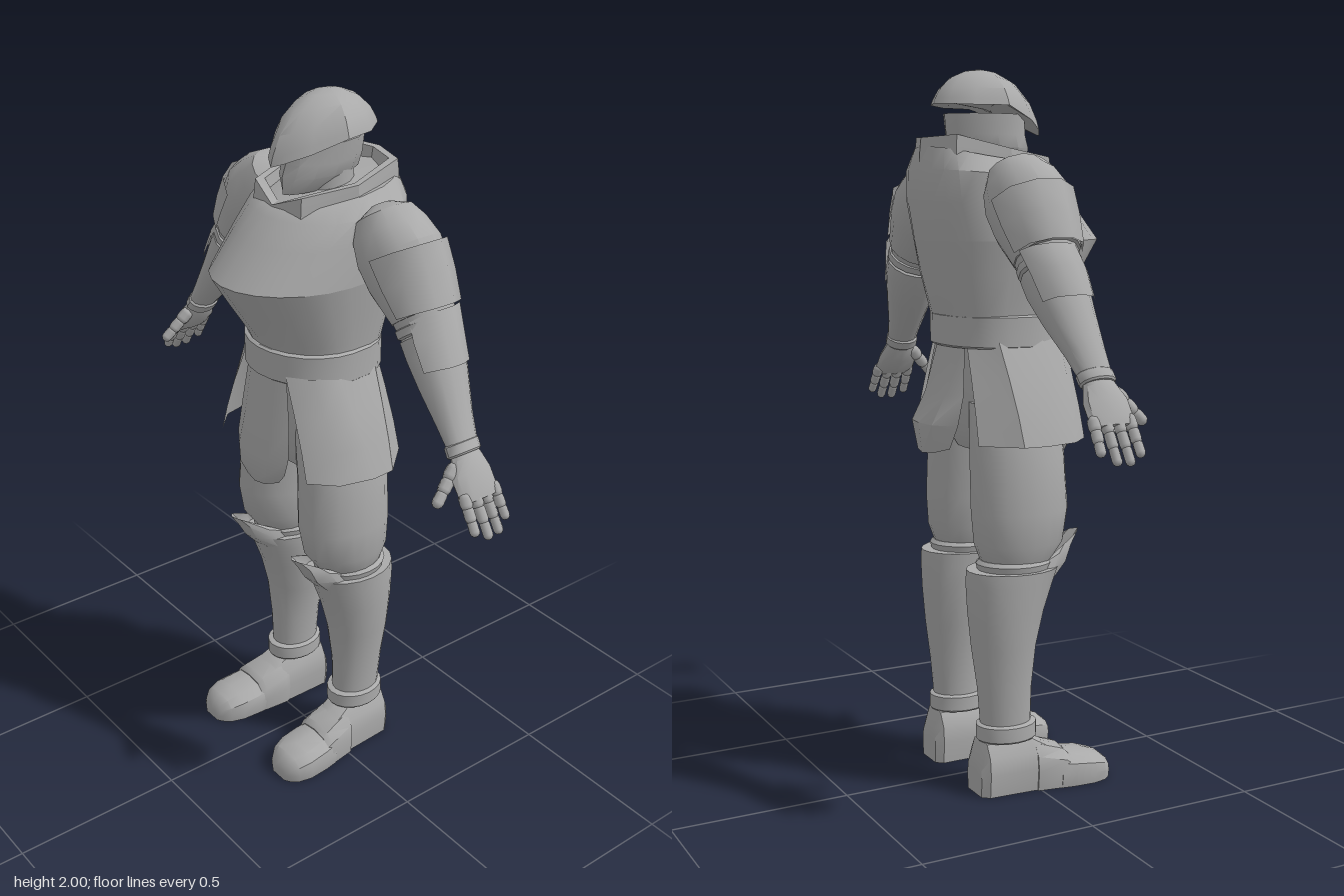
import * as THREE from 'three';
import { toCreasedNormals } from 'three/addons/utils/BufferGeometryUtils.js';

const steel = new THREE.MeshStandardMaterial({ color: 0xaaaaaa, side: THREE.DoubleSide });
steel.name = 'steel';

// Skin a surface through rows of [x, y, z] points
function loft(rows, { closed = true, caps = true, crease = 0.6 } = {}) {
  const n = rows[0].length, pos = rows.flat(2), idx = [];
  const cols = closed ? n : n - 1;
  for (let i = 0; i < rows.length - 1; i++)
    for (let j = 0; j < cols; j++) {
      const k = (j + 1) % n, a = i * n + j, b = i * n + k;
      idx.push(a, b, b + n, a, b + n, a + n);
    }
  if (closed && caps) {
    [0, rows.length - 1].forEach((r, end) => {
      const c = pos.length / 3;
      for (let d = 0; d < 3; d++) pos.push(rows[r].reduce((s, p) => s + p[d], 0) / n);
      for (let j = 0; j < n; j++) {
        const a = r * n + j, b = r * n + (j + 1) % n;
        if (end) idx.push(c, a, b); else idx.push(c, b, a);
      }
    });
  }
  const g = new THREE.BufferGeometry();
  g.setAttribute('position', new THREE.Float32BufferAttribute(pos, 3));
  g.setIndex(idx);
  return toCreasedNormals(g, crease);
}

// Horizontal oval with its own front and back depth; yb tilts the back edge
function ring([y, cx, rx, zf, zb, yb = y], n = 20, square = 1) {
  const c = (zf + zb) / 2, r = (zf - zb) / 2;
  return Array.from({ length: n }, (_, i) => {
    const a = (i / n) * Math.PI * 2, s = Math.sin(a), v = Math.cos(a);
    const p = v < 0 ? square : 1;
    const u = Math.sign(s) * Math.abs(s) ** p;
    return [cx + rx * u, y + (yb - y) * (1 - v) / 2, c + r * Math.sign(v) * Math.abs(v) ** p];
  });
}
const rings = (list, n, square, opts) => loft(list.map(r => ring(r, n, square)), opts);

// Closed left-right symmetric loop from its +x half, front to back
const symmetric = half => [...half, ...half.slice(1, -1).reverse().map(([x, y, z]) => [-x, y, z])];

// Open plate from +x half rows (centre outwards)
const plate = (rows, cx = 0) => loft(rows.map(h =>
  [...h.slice(1).reverse().map(([x, y, z]) => [cx - x, y, z]), ...h.map(([x, y, z]) => [cx + x, y, z])]),
{ closed: false });

export function createModel() {
  const model = new THREE.Group();
  model.name = 'armouredFigure';
  const add = (name, geo, parent = model) => {
    const m = new THREE.Mesh(geo, steel);
    m.name = name;
    parent.add(m);
    return m;
  };
  const pair = (name, geo) => {
    add(name + 'Left', geo);
    add(name + 'Right', geo).scale.x = -1;
  };

  // Cuirass, sharp across the chest
  add('backAndBelly', rings([[1.30, 0, .175, .13, -.19], [1.36, 0, .183, .155, -.205], [1.45, 0, .2, .215, -.23],
    [1.54, 0, .215, .272, -.248]], 24, .75));
  add('chest', rings([[1.54, 0, .215, .272, -.248], [1.64, 0, .212, .187, -.265], [1.70, 0, .205, .13, -.265, 1.73],
    [1.725, 0, .16, .1, -.25, 1.79]], 24, .75));

  // Standing collar with a hollow inside
  const collar = (k, dy) => symmetric([[0, 1.725, .105], [.1, 1.765, .085], [.152, 1.785, -.06], [.128, 1.82, -.21],
    [0, 1.815, -.255]].map(([x, y, z]) => [x * k, y + dy, -.08 + (z + .08) * k]));
  add('collar', loft([collar(1.04, -.085), collar(1.02, -.03), collar(1, 0), collar(.87, 0), collar(.8, -.08)],
    { caps: false, crease: .3 }));

  // Neck, face guard and helmet
  add('neck', rings([[1.68, 0, .065, -.01, -.15], [1.86, 0, .065, -.01, -.15]], 16));
  add('faceGuard', rings([[1.745, 0, .03, .07, -.1], [1.79, 0, .068, .072, -.17], [1.825, 0, .075, .06, -.18],
    [1.88, 0, .082, .055, -.185]], 12));
  const brim = [[0, 1.825, .108], [.035, 1.84, .09], [.082, 1.865, .04], [.122, 1.9, -.05], [.102, 1.9, -.14],
    [.055, 1.903, -.2], [0, 1.905, -.217]];
  const dome = [[.72, .12], [1, 0], [.96, .16], [.84, .45], [.6, .76], [.3, .94], [.02, 1]];
  add('helmet', loft(dome.map(([r, h]) => symmetric(brim.map(([x, y, z]) =>
    [x * r, y + (2 - y) * h, -.08 + (z + .08) * r])))));

  // Belt and hips
  add('belt', rings([[1.25, 0, .185, .15, -.195], [1.255, 0, .19, .157, -.2], [1.335, 0, .19, .157, -.2],
    [1.34, 0, .18, .15, -.195]], 24, .8));
  add('hips', rings([[.96, 0, .15, .07, -.13], [1.02, 0, .195, .105, -.165], [1.15, 0, .185, .12, -.17],
    [1.27, 0, .17, .13, -.175]], 20));

  // Skirt plates
  add('frontSkirtPlate', plate([
    [[0, .925, .175], [.04, .93, .17], [.08, .945, .15]],
    [[0, .96, .185], [.06, .965, .18], [.108, .98, .15]],
    [[0, 1.02, .188], [.065, 1.02, .18], [.118, 1.03, .145]],
    [[0, 1.12, .168], [.06, 1.12, .16], [.11, 1.12, .135]],
    [[0, 1.27, .148], [.05, 1.27, .143], [.085, 1.27, .125]]]));
  add('backSkirtPlate', plate([
    [[0, .955, -.26], [-.05, .96, -.25], [-.095, .975, -.22]],
    [[0, 1.04, -.27], [-.065, 1.04, -.26], [-.125, 1.04, -.21]],
    [[0, 1.12, -.225], [-.065, 1.12, -.218], [-.12, 1.12, -.19]],
    [[0, 1.27, -.188], [-.05, 1.27, -.183], [-.09, 1.27, -.17]]]));
  const hem = [[.2, .145], [.265, .08], [.29, -.02], [.285, -.09], [.2, -.185]];
  const waist = [[.095, .135], [.155, .09], [.182, .02], [.172, -.11], [.1, -.172]];
  pair('sideSkirtPlate', loft([0, .3, .65, 1].map(t => hem.map(([x, z], i) => {
    const s = t ** 1.2;
    return [x + (waist[i][0] - x) * s, .995 + .28 * t, z + (waist[i][1] - z) * s];
  })), { closed: false }));

  // Legs
  pair('thigh', rings([[.63, .148, .075, .04, -.13], [.67, .148, .088, .065, -.15], [.71, .148, .102, .095, -.165],
    [.8, .145, .107, .112, -.172], [.95, .135, .11, .105, -.17], [1.1, .11, .1, .1, -.16]], 20));
  pair('kneeStrap', rings([[.635, .148, .09, .055, -.155], [.655, .148, .095, .06, -.16], [.665, .148, .085, .055, -.15]], 20));
  pair('greave', rings([[.18, .152, .058, -.005, -.152], [.3, .153, .065, -.002, -.162], [.42, .15, .085, .01, -.177],
    [.52, .148, .098, .035, -.186], [.6, .147, .105, .065, -.19], [.638, .147, .107, .08, -.188], [.638, .147, .09, .06, -.165]], 20));
  pair('ankleCuff', rings([[.15, .152, .068, .008, -.16], [.155, .152, .072, .012, -.165], [.195, .152, .072, .012, -.165],
    [.2, .152, .06, 0, -.155]], 20));
  pair('kneeGuard', plate([
    [[0, .605, .07], [.04, .605, .06], [.07, .605, .03], [.072, .615, 0]],
    [[0, .65, .11], [.04, .645, .095], [.068, .64, .045], [.072, .635, 0]],
    [[0, .695, .135], [.035, .69, .115], [.058, .675, .065], [.068, .65, 0]],
    [[0, .728, .158], [.022, .722, .142], [.04, .695, .09], [.06, .66, .02]]], .146));

  // Shoes, built heel to toe
  const arch = [[.92, 0], [1, .4], [.92, .7], [.6, .93], [0, 1], [-.6, .93], [-.92, .7], [-1, .4], [-.92, 0]];
  const shoe = list => loft(list.map(([z, cx, w, h]) => arch.map(([u, v]) => [cx + u * w, v * h, z])));
  pair('shoe', shoe([[-.175, .15, .045, .11], [-.155, .15, .064, .16], [-.02, .154, .068, .16], [.02, .16, .07, .135],
    [.08, .167, .073, .105]]));
  pair('instepPlate', shoe([[-.01, .157, .072, .145], [.0, .157, .075, .14], [.075, .166, .078, .115], [.09, .168, .074, .1]]));
  pair('toeCap', shoe([[.06, .167, .076, .1], [.1, .17, .08, .095], [.16, .174, .08, .086], [.2, .176, .068, .073],
    [.222, .177, .048, .055], [.232, .177, .03, .03]]));

  // Arms: rows are [distance down the arm, outward shift, z shift, outward radius, z radius]
  const armRings = (list, n = 14) => rings(list.map(([t, u, z, ru, rw]) => [-t, u, ru, z + rw, z - rw]), n);
  const outerPlate = (list, span) => loft(list.map(([t, u, z, ru, rw]) =>
    [-1, -.6, -.2, .2, .6, 1].map(k => [u + ru * Math.cos(k * span), -t + .015 * Math.abs(k), z - rw * Math.sin(k * span)])),
  { closed: false, crease: .9 });
  function arm(name) {
    const g = new THREE.Group();
    g.name = name;
    add('shoulder', armRings([[.2, .005, 0, .09, .09], [.1, 0, 0, .115, .108], [.03, .0, 0, .122, .112],
      [-.03, -.005, 0, .106, .1], [-.075, 0, 0, .072, .08], [-.1, 0, 0, .02, .03]]), g);
    add('upperArmPlate', outerPlate([[.21, .01, 0, .092, .1], [.13, .01, 0, .112, .112], [.05, .012, 0, .122, .118]], 1.5), g);
    add('upperArm', armRings([[.27, 0, 0, .065, .072], [.21, .002, 0, .08, .085], [.12, 0, 0, .09, .095]]), g);
    add('elbowBand', armRings([[.245, 0, 0, .072, .08], [.24, 0, 0, .08, .088], [.22, 0, 0, .08, .088], [.215, 0, 0, .07, .08]]), g);
    add('elbowPlate', outerPlate([[.36, -.005, .008, .074, .082], [.28, 0, .002, .083, .09], [.215, .005, -.01, .083, .092]], 1.2), g);
    add('forearm', armRings([[.55, -.008, .028, .03, .046], [.48, -.008, .022, .042, .054], [.38, -.008, .01, .062, .071],
      [.3, -.004, .002, .075, .083], [.25, 0, 0, .078, .086], [.24, 0, 0, .06, .07]]), g);
    add('wristCuff', armRings([[.57, -.01, .03, .032, .046], [.565, -.01, .03, .036, .051], [.54, -.01, .028, .036, .051],
      [.535, -.01, .028, .03, .045]]), g);
    add('palm', armRings([[.69, -.008, .033, .014, .058], [.67, -.01, .033, .022, .065], [.62, -.012, .033, .03, .064],
      [.58, -.01, .03, .028, .048], [.555, -.01, .03, .024, .04]], 12), g);

    // Jointed fingers and thumb
    const digit = (label, a, b, r) => {
      const from = new THREE.Vector3(...a), step = new THREE.Vector3(...b).sub(from).divideScalar(3);
      const turn = new THREE.Quaternion().setFromUnitVectors(new THREE.Vector3(0, 1, 0), step.clone().normalize());
      for (let i = 0; i < 3; i++) {
        const rad = r * (1 - .1 * i);
        const m = add(label, new THREE.CapsuleGeometry(rad, Math.max(.004, step.length() - rad), 3, 8), g);
        m.quaternion.copy(turn);
        m.position.copy(from).addScaledVector(step, i + .5);
      }
    };
    [.775, .795, .792, .765].forEach((tip, i) => {
      const z = .082 - i * .034;
      digit('finger', [-.008, -.665, z], [-.008 - .008, -tip + .006, z * 1.08 - .003], .0165);
    });
    digit('thumb', [-.014, -.59, .07], [-.045, -.665, .145], .02);
    g.position.set(.27, 1.665, -.085);
    g.rotation.z = .63;
    return g;
  }
  const left = arm('leftArm'), rightSide = new THREE.Group();
  rightSide.name = 'rightSide';
  rightSide.scale.x = -1;
  rightSide.add(arm('rightArm'));
  model.add(left, rightSide);
  return model;
}
